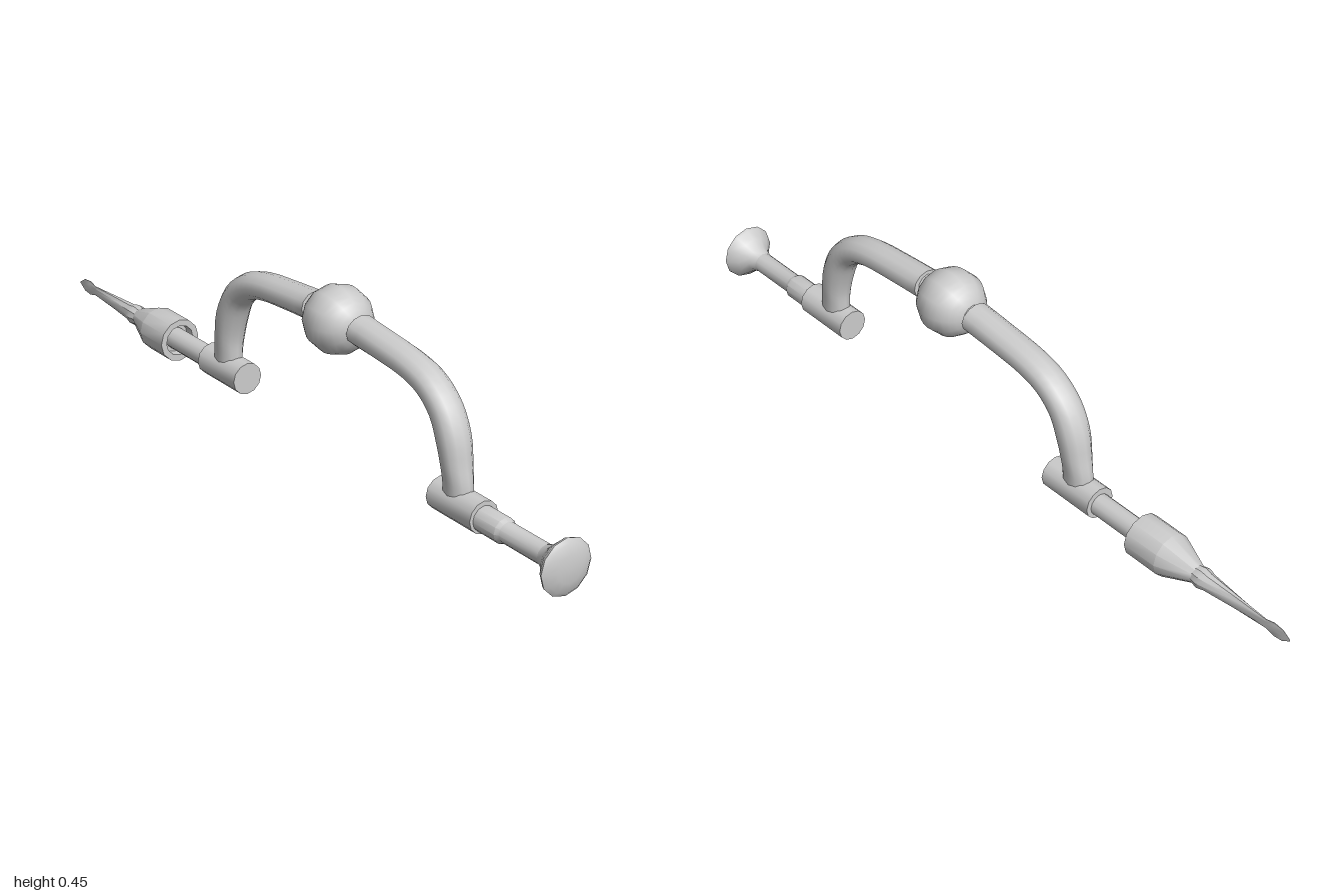
import * as THREE from 'three';
import { toCreasedNormals } from 'three/addons/utils/BufferGeometryUtils.js';

const AXIS_Y = 0.073; // height of the turning axis
const MID_X = 0.153;  // the crank is symmetric about this x

export function createModel() {
  const group = new THREE.Group();
  const material = new THREE.MeshStandardMaterial({ color: 0xcccccc });

  function add(name, geometry) {
    const mesh = new THREE.Mesh(geometry, material);
    mesh.name = name;
    group.add(mesh);
    return mesh;
  }

  // Turned part along x; profile is [x, radius] from low x to high x
  function turned(name, profile, sides = 12, y = AXIS_Y, reshape) {
    const g = new THREE.LatheGeometry(profile.map(([x, r]) => new THREE.Vector2(r, x)), sides);
    g.rotateZ(-Math.PI / 2);
    if (reshape) reshape(g.attributes.position);
    const mesh = add(name, toCreasedNormals(g, 0.6));
    mesh.position.y = y;
    return mesh;
  }

  // Arm swept through elliptical sections; side is -1 or +1
  function arm(name, side) {
    // distance from middle, height, in-plane radius, depth radius
    const stations = [
      [0.087, 0.369, 0.037, 0.042], [0.19, 0.361, 0.035, 0.042], [0.295, 0.349, 0.034, 0.042],
      [0.357, 0.328, 0.035, 0.042], [0.407, 0.286, 0.037, 0.042], [0.435, 0.23, 0.039, 0.042],
      [0.449, 0.17, 0.037, 0.038], [0.455, 0.125, 0.041, 0.033], [0.456, 0.08, 0.043, 0.03],
    ];
    const path = new THREE.CatmullRomCurve3(stations.map(([d, y]) => new THREE.Vector3(MID_X + side * d, y, 0)));
    const radii = new THREE.CatmullRomCurve3(stations.map(([, , a, b]) => new THREE.Vector3(a, b, 0)));
    const rings = 24, sides = 12, pos = [], index = [];
    for (let i = 0; i <= rings; i++) {
      const t = i / rings, p = path.getPoint(t), tan = path.getTangent(t), r = radii.getPoint(t);
      for (let j = 0; j < sides; j++) {
        const a = (j / sides) * Math.PI * 2, c = Math.cos(a) * r.x;
        pos.push(p.x - tan.y * c, p.y + tan.x * c, Math.sin(a) * r.y);
        if (i === rings) continue;
        const k = i * sides + j, n = i * sides + (j + 1) % sides;
        index.push(k, n, k + sides, n, n + sides, k + sides);
      }
    }
    // Cap the end beside the grip
    for (let j = 1; j < sides - 1; j++) index.push(0, j + 1, j);
    const g = new THREE.BufferGeometry();
    g.setAttribute('position', new THREE.Float32BufferAttribute(pos, 3));
    g.setIndex(index);
    add(name, toCreasedNormals(g, 0.8));
  }

  // Crank: ball grip with necks, two bent arms, two sleeves
  const grip = new THREE.SphereGeometry(0.085, 12, 16);
  grip.rotateZ(-Math.PI / 2);
  add('ballGrip', grip).position.set(MID_X, 0.365, 0);
  turned('gripNeck', [[MID_X - 0.1, 0.03], [MID_X + 0.1, 0.03]], 12, 0.367);
  for (const [side, label] of [[-1, 'right'], [1, 'left']]) {
    arm(label + 'Arm', side);
    const x = MID_X + side * 0.463 + (side < 0 ? 0.01 : 0.007);
    turned(label + 'Sleeve', [[x - 0.079, 0], [x - 0.079, 0.041], [x + 0.079, 0.041], [x + 0.079, 0]], 12, 0.076);
  }

  // Push pad on its stepped spindle
  turned('padSpindle', [[0.69, 0.032], [0.775, 0.032], [0.785, 0.026], [0.93, 0.026]]);
  turned('pushPad', [
    [0.91, 0], [0.915, 0.026], [0.935, 0.033], [0.955, 0.05],
    [0.975, 0.068], [0.983, 0.071], [0.991, 0.06], [0.997, 0.035], [1, 0],
  ]);

  // Chuck with a recess around its spindle
  turned('chuckSpindle', [[-0.56, 0.028], [-0.37, 0.028]]);
  turned('chuck', [
    [-0.715, 0], [-0.71, 0.022], [-0.62, 0.056], [-0.522, 0.056],
    [-0.522, 0.04], [-0.545, 0.038], [-0.545, 0],
  ]);

  // Bit: round shank, flattening toward a spade point
  turned('drillBit', [
    [-1, 0.002], [-0.977, 0.017], [-0.95, 0.02], [-0.925, 0.013],
    [-0.83, 0.018], [-0.745, 0.022], [-0.725, 0.027], [-0.7, 0.022],
  ], 10, AXIS_Y, (p) => {
    for (let i = 0; i < p.count; i++) {
      const flat = THREE.MathUtils.clamp((p.getX(i) + 0.98) / 0.22, 0.12, 1);
      p.setZ(i, p.getZ(i) * flat);
    }
  });

  return group;
}
